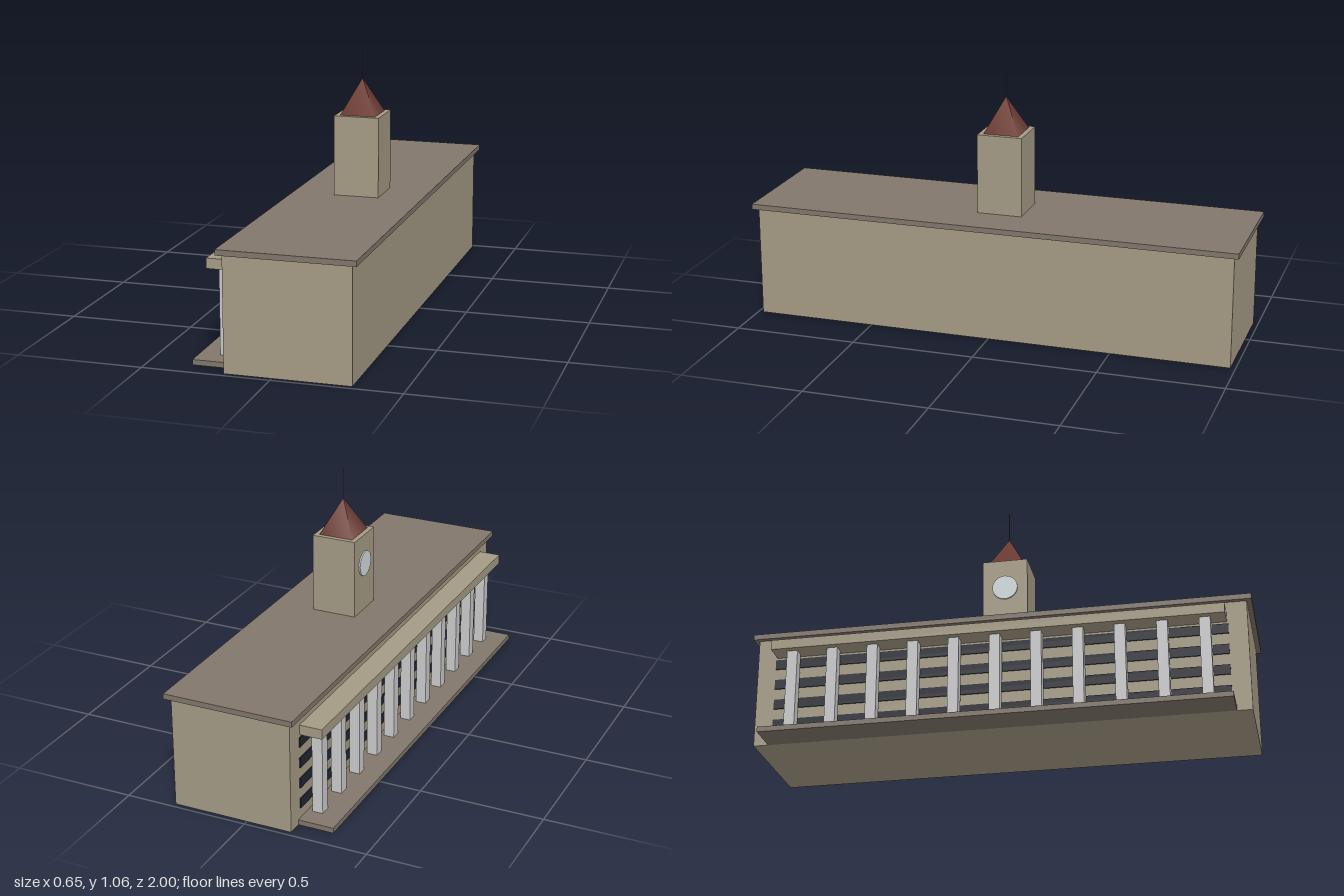
import * as THREE from 'three';

const material = (name, color) => {
  const m = new THREE.MeshStandardMaterial({ color });
  m.name = name;
  return m;
};

export function createModel() {
  const model = new THREE.Group();
  model.name = 'clockTowerStation';
  const stone = material('sandStone', 0xa59b85);
  const slate = material('greyBrownSlab', 0x81776c);
  const white = material('paleColumn', 0xcbcbcd);
  const glass = material('darkGlass', 0x23252f);
  const red = material('redRoof', 0x6e3c33);
  const dial = material('clockFace', 0xd2dadc);
  const metal = material('darkMetal', 0x444444);

  const add = (name, geometry, mat, x = 0, y = 0, z = 0) => {
    const mesh = new THREE.Mesh(geometry, mat);
    mesh.name = name;
    mesh.position.set(x, y, z);
    model.add(mesh);
    return mesh;
  };
  // box from its x range, y range and half length along z
  const block = (name, mat, x0, x1, y0, y1, halfZ, z = 0) =>
    add(name, new THREE.BoxGeometry(x1 - x0, y1 - y0, 2 * halfZ), mat,
      (x0 + x1) / 2, (y0 + y1) / 2, z);

  // main hall
  block('hall', stone, -0.185, 0.305, 0, 0.452, 0.98);
  block('roofSlab', slate, -0.205, 0.326, 0.452, 0.474, 1);

  // colonnade along the -x side
  block('platform', slate, -0.329, -0.185, 0, 0.021, 0.92);
  block('beam', stone, -0.276, -0.185, 0.37, 0.41, 0.9);
  for (let i = 0; i < 11; i++) {
    block('column', white, -0.248, -0.205, 0.021, 0.37, 0.0215, -0.82 + i * 0.164);
  }

  // four rows of window bands behind the columns
  for (let row = 0; row < 4; row++) {
    const y = 0.064 + row * 0.0855;
    block('windowBand', glass, -0.19, -0.185, y, y + 0.04, 0.905);
  }

  // clock tower
  const cx = 0.061;
  block('tower', stone, cx - 0.092, cx + 0.092, 0.474, 0.798, 0.092);
  const spire = new THREE.ConeGeometry(0.102, 0.142, 4);
  spire.rotateY(Math.PI / 4);
  add('towerRoof', spire, red, cx, 0.869, 0);
  add('mast', new THREE.CylinderGeometry(0.0015, 0.0015, 0.125, 8), metal, cx, 1.0005, 0);
  const clock = add('clock', new THREE.CylinderGeometry(0.052, 0.052, 0.006, 24), dial,
    cx - 0.095, 0.675, 0);
  clock.rotation.z = Math.PI / 2;

  return model;
}
